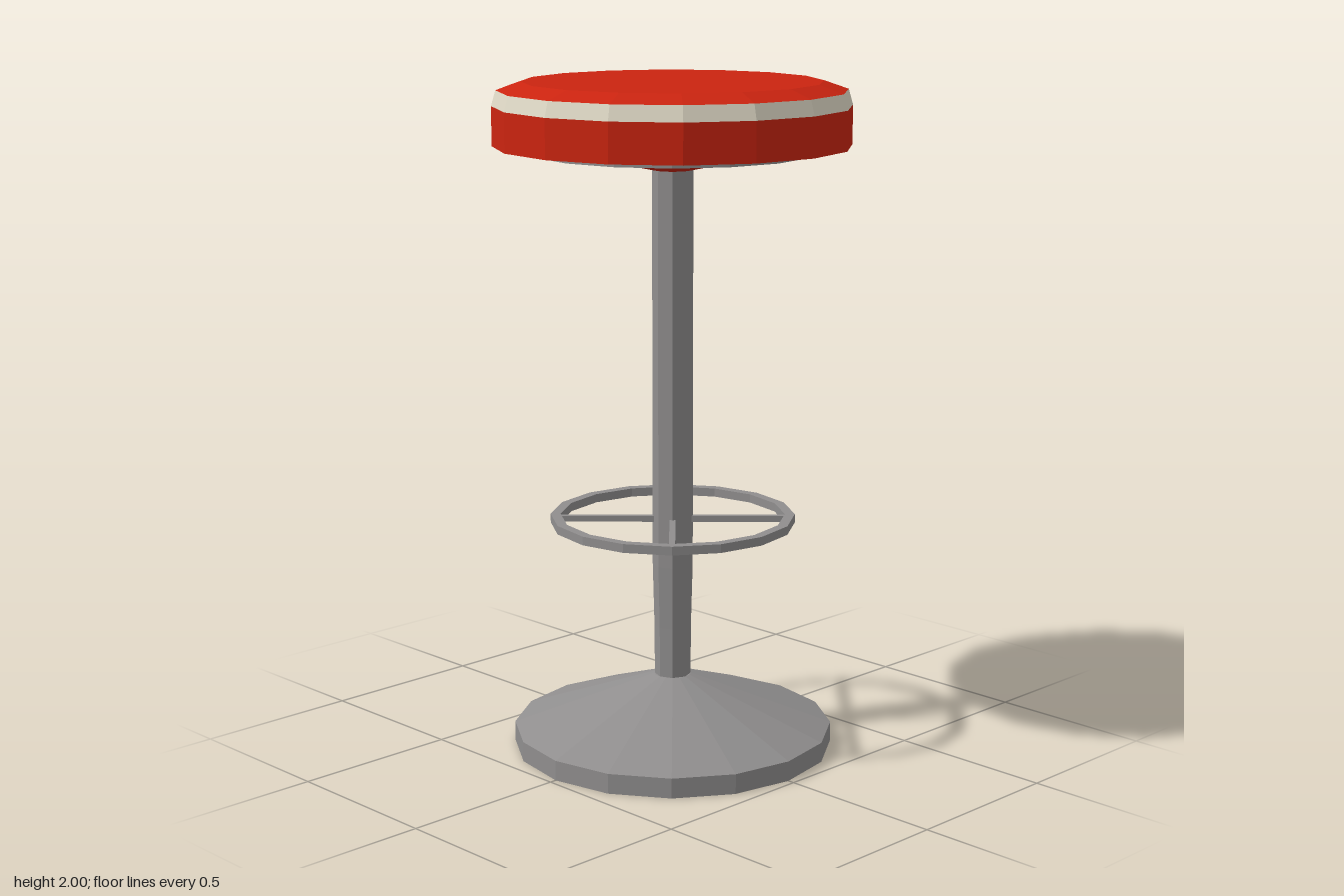
import * as THREE from 'three';

const material = (name, color) => {
  const m = new THREE.MeshStandardMaterial({ color });
  m.name = name;
  return m;
};

// Faceted mesh: every face gets its own flat normal
function facet(name, geometry, mat) {
  const flat = geometry.index ? geometry.toNonIndexed() : geometry;
  flat.computeVertexNormals();
  const mesh = new THREE.Mesh(flat, mat);
  mesh.name = name;
  return mesh;
}

// Turned part from a [radius, height] profile running counterclockwise (bottom, outside, top)
function turned(name, profile, sides, mat, turn = 0) {
  const points = profile.map(([r, y]) => new THREE.Vector2(r, y));
  return facet(name, new THREE.LatheGeometry(points, sides, turn), mat);
}

// Flat hoop with a rectangular section
const hoop = (name, inner, outer, y0, y1, mat) =>
  turned(name, [[inner, y0], [outer, y0], [outer, y1], [inner, y1], [inner, y0]], 16, mat);

export function createModel() {
  const red = material('red upholstery', 0xcb2410);
  const cream = material('cream trim', 0xdfd9c6);
  const metal = material('grey metal', 0x908e8e);
  const stool = new THREE.Group();
  stool.name = 'barStool';

  // Pedestal
  stool.add(turned('base', [[0, 0], [0.48, 0], [0.48, 0.06], [0.055, 0.217], [0, 0.217]], 16, metal));
  stool.add(turned('column', [[0.054, 0.2], [0.055, 0.37], [0.06, 0.56], [0.06, 1.76]], 8, metal));

  // Footrest hoop with two crossing bars on the diagonals
  const footrest = new THREE.Group();
  footrest.name = 'footrest';
  footrest.add(hoop('footrestHoop', 0.335, 0.365, 0.688, 0.714, metal));
  for (const side of [-1, 1]) {
    const bar = facet('footrestBar', new THREE.BoxGeometry(0.69, 0.018, 0.018), metal);
    bar.position.y = 0.701;
    bar.rotation.y = side * Math.PI / 4;
    footrest.add(bar);
  }
  stool.add(footrest);

  // Seat: cushion with conical underside, trim band, bevelled top
  const seat = new THREE.Group();
  seat.name = 'seat';
  const turn = 0.06;
  seat.add(turned('cushion', [[0, 1.745], [0.06, 1.745], [0.38, 1.815], [0.522, 1.815], [0.522, 1.93]], 16, red, turn));
  seat.add(turned('trimBand', [[0.522, 1.93], [0.509, 1.975]], 16, cream, turn));
  seat.add(turned('seatTop', [[0.509, 1.975], [0.437, 2], [0, 2]], 16, red, turn));
  seat.add(hoop('seatHoop', 0.378, 0.415, 1.795, 1.82, metal));
  stool.add(seat);

  return stool;
}
